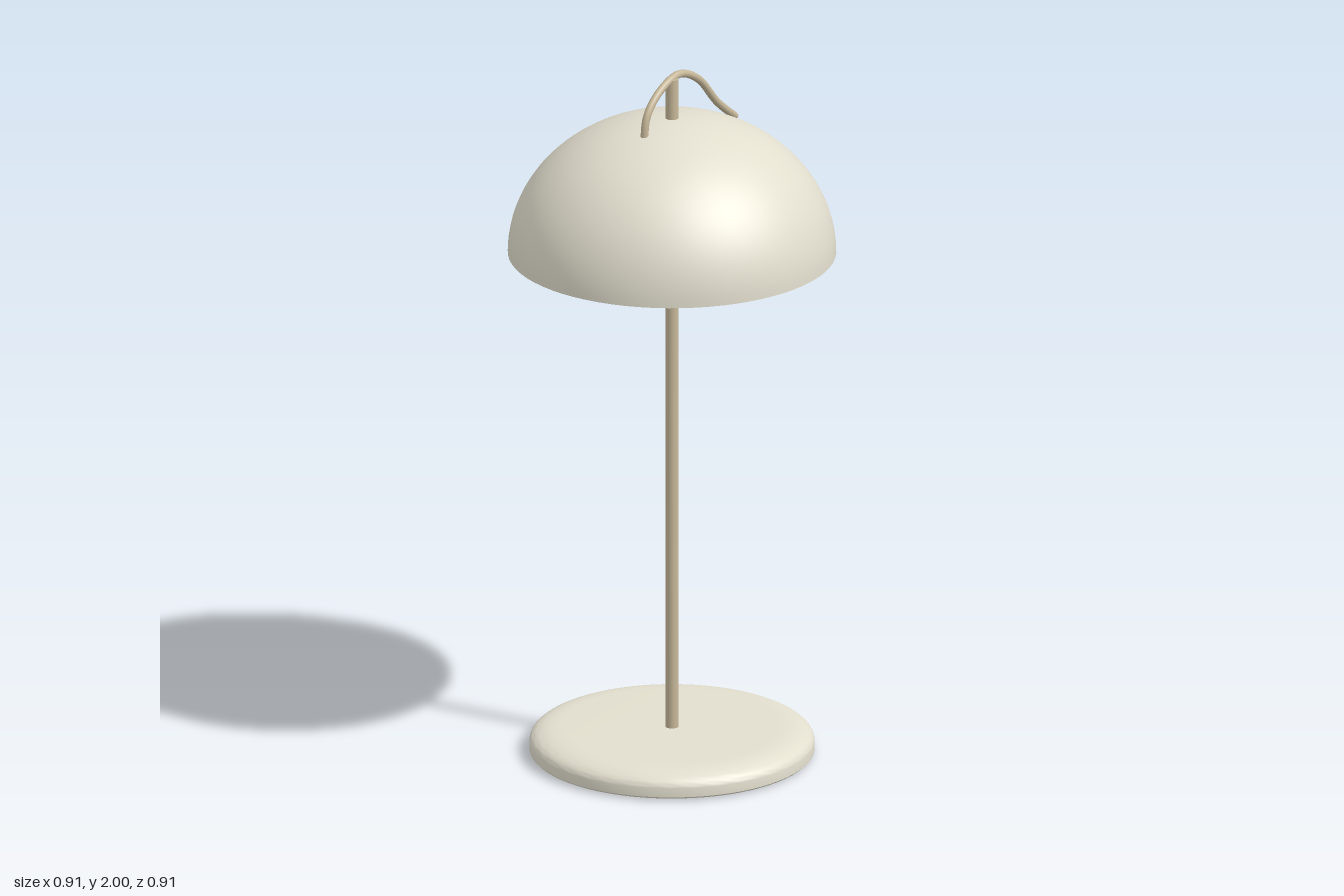
import * as THREE from 'three';
import { toCreasedNormals } from 'three/addons/utils/BufferGeometryUtils.js';

const cream = new THREE.MeshStandardMaterial({ color: 0xe2dece, side: THREE.DoubleSide });
const brass = new THREE.MeshStandardMaterial({ color: 0xc6b799 });

function add(group, name, geometry, material) {
  const mesh = new THREE.Mesh(geometry, material);
  mesh.name = name;
  group.add(mesh);
  return mesh;
}

// Quarter-ellipse profile from the axis (top) out to the rim
function domeProfile(radius, height, baseY, steps = 28) {
  return Array.from({ length: steps + 1 }, (_, i) => {
    const a = (i / steps) * Math.PI / 2;
    return new THREE.Vector2(radius * Math.sin(a), baseY + height * Math.cos(a));
  });
}

export function createModel() {
  const lamp = new THREE.Group();
  lamp.name = 'tableLamp';

  // Disc base: straight lower edge, softly rounded upper edge
  const edge = new THREE.Path();
  edge.moveTo(0, 0.005);
  edge.lineTo(0.39, 0.005);
  edge.lineTo(0.395, 0.01);
  edge.lineTo(0.395, 0.036);
  edge.bezierCurveTo(0.392, 0.06, 0.355, 0.075, 0.3, 0.075);
  edge.lineTo(0, 0.075);
  const base = new THREE.LatheGeometry(edge.getPoints(12), 72);
  add(lamp, 'base', toCreasedNormals(base, 0.6), cream);

  // Stem runs from the floor through the top of the shade
  const stem = new THREE.CylinderGeometry(0.018, 0.018, 1.985, 32);
  add(lamp, 'stem', stem, brass).position.y = 0.9925;

  // Hollow dome shade: inner wall, flat rim, outer wall
  const rimY = 1.475;
  const inner = domeProfile(0.415, 0.355, rimY);
  const outer = domeProfile(0.455, 0.395, rimY).reverse();
  const shade = new THREE.LatheGeometry([...inner, ...outer], 72);
  add(lamp, 'shade', toCreasedNormals(shade, 0.6), cream);

  // Bent cord: rests on the shade, arches over the stem, hangs inside
  const path = new THREE.CatmullRomCurve3([
    [0.293, 1.788], [0.21, 1.855], [0.12, 1.95], [0.03, 1.989], [-0.06, 1.962],
    [-0.115, 1.91], [-0.128, 1.85], [-0.12, 1.72], [-0.075, 1.6], [-0.035, 1.48], [-0.02, 1.39],
  ].map(([x, y]) => new THREE.Vector3(x, y, 0)));
  const cordRadius = 0.011;
  const cord = new THREE.Group();
  cord.name = 'cord';
  add(cord, 'cordTube', new THREE.TubeGeometry(path, 90, cordRadius, 14), brass);
  for (const [t, sign] of [[0, -1], [1, 1]]) {
    const cap = add(cord, 'cordEnd', new THREE.CircleGeometry(cordRadius, 14), brass);
    cap.position.copy(path.getPointAt(t));
    cap.quaternion.setFromUnitVectors(
      new THREE.Vector3(0, 0, 1), path.getTangentAt(t).multiplyScalar(sign));
  }
  lamp.add(cord);

  return lamp;
}
